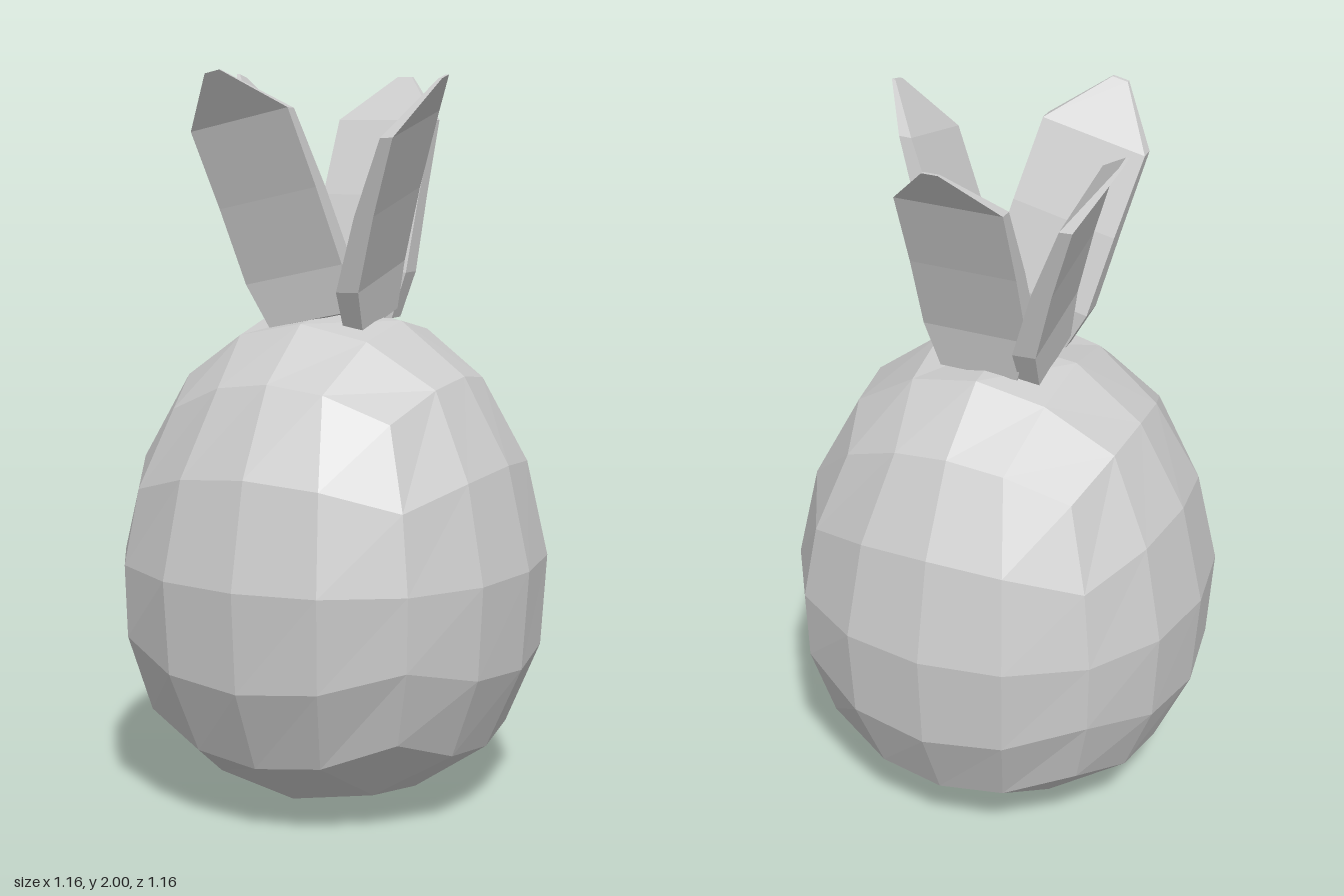
import * as THREE from 'three';

const material = new THREE.MeshStandardMaterial({ color: 0xcccccc, flatShading: true });

// Fruit profile: [sphere height, y, radius factor], bottom to top
const PROFILE = [
  [-1, 0.003, 0.65], [-0.924, 0.05, 0.652], [-0.707, 0.195, 0.65], [-0.383, 0.42, 0.606],
  [0, 0.69, 0.578], [0.383, 0.97, 0.557], [0.707, 1.2, 0.545], [0.924, 1.34, 0.522], [1, 1.36, 0.522],
];

function sampleProfile(h) {
  let i = 0;
  while (i < PROFILE.length - 2 && h > PROFILE[i + 1][0]) i++;
  const [a, b] = [PROFILE[i], PROFILE[i + 1]];
  const t = THREE.MathUtils.clamp((h - a[0]) / (b[0] - a[0]), 0, 1);
  return [1, 2].map((k) => THREE.MathUtils.lerp(a[k], b[k], t));
}

// Gridded cube rounded into a sphere, then shaped by the profile
function fruitGeometry() {
  const geometry = new THREE.BoxGeometry(2, 2, 2, 4, 4, 4);
  const p = geometry.attributes.position;
  const n = new THREE.Vector3();
  const even = (v) => Math.tan((v * Math.PI) / 4);
  for (let i = 0; i < p.count; i++) {
    n.set(even(p.getX(i)), even(p.getY(i)), even(p.getZ(i))).normalize();
    const [y, r] = sampleProfile(n.y);
    const bulge = r * (1 + 0.11 * n.x * n.x * n.z * n.z);
    p.setXYZ(i, n.x * bulge, y, n.z * bulge);
  }
  geometry.computeVertexNormals();
  return geometry;
}

// Leaf cross-sections: [height, half width, inner z, outer z]
const LEAF = [
  [-0.01, 0.11, 0.09, 0.145],
  [0.115, 0.147, 0.1, 0.165],
  [0.32, 0.147, 0.18, 0.235],
  [0.525, 0.147, 0.28, 0.315],
  [0.645, 0.022, 0.4, 0.41],
];

function leafGeometry() {
  const positions = [];
  const index = [];
  for (const [y, w, zi, zo] of LEAF) {
    positions.push(-w, y, zi, -w, y, zo, w, y, zo, w, y, zi);
  }
  for (let s = 0; s < LEAF.length - 1; s++) {
    for (let k = 0; k < 4; k++) {
      const a = s * 4 + k;
      const b = s * 4 + ((k + 1) % 4);
      index.push(a, b, b + 4, a, b + 4, a + 4);
    }
  }
  const t = (LEAF.length - 1) * 4;
  index.push(0, 2, 1, 0, 3, 2, t, t + 1, t + 2, t, t + 2, t + 3);
  const geometry = new THREE.BufferGeometry();
  geometry.setAttribute('position', new THREE.Float32BufferAttribute(positions, 3));
  geometry.setIndex(index);
  geometry.computeVertexNormals();
  return geometry;
}

export function createModel() {
  const model = new THREE.Group();
  model.name = 'pineapple';

  const fruit = new THREE.Mesh(fruitGeometry(), material);
  fruit.name = 'fruit';
  model.add(fruit);

  // Crown: three leaning leaves and one upright leaf at the back
  const leaf = leafGeometry();
  const leaves = [
    { name: 'frontLeaf', turn: 0, roll: 0.22, tilt: -0.05 },
    { name: 'leftLeaf', turn: 1, roll: 0.23, tilt: -0.02 },
    { name: 'backLeaf', turn: 2, roll: 0, tilt: 0 },
    { name: 'rightLeaf', turn: 3, roll: 0.22, tilt: -0.045 },
  ];
  for (const { name, turn, roll, tilt } of leaves) {
    const holder = new THREE.Group();
    holder.name = name;
    holder.rotation.y = (turn * Math.PI) / 2;
    const mesh = new THREE.Mesh(leaf, material);
    mesh.name = name + 'Blade';
    mesh.position.set(-0.018, 1.345, 0);
    mesh.rotation.set(tilt, 0, roll);
    holder.add(mesh);
    model.add(holder);
  }
  return model;
}
